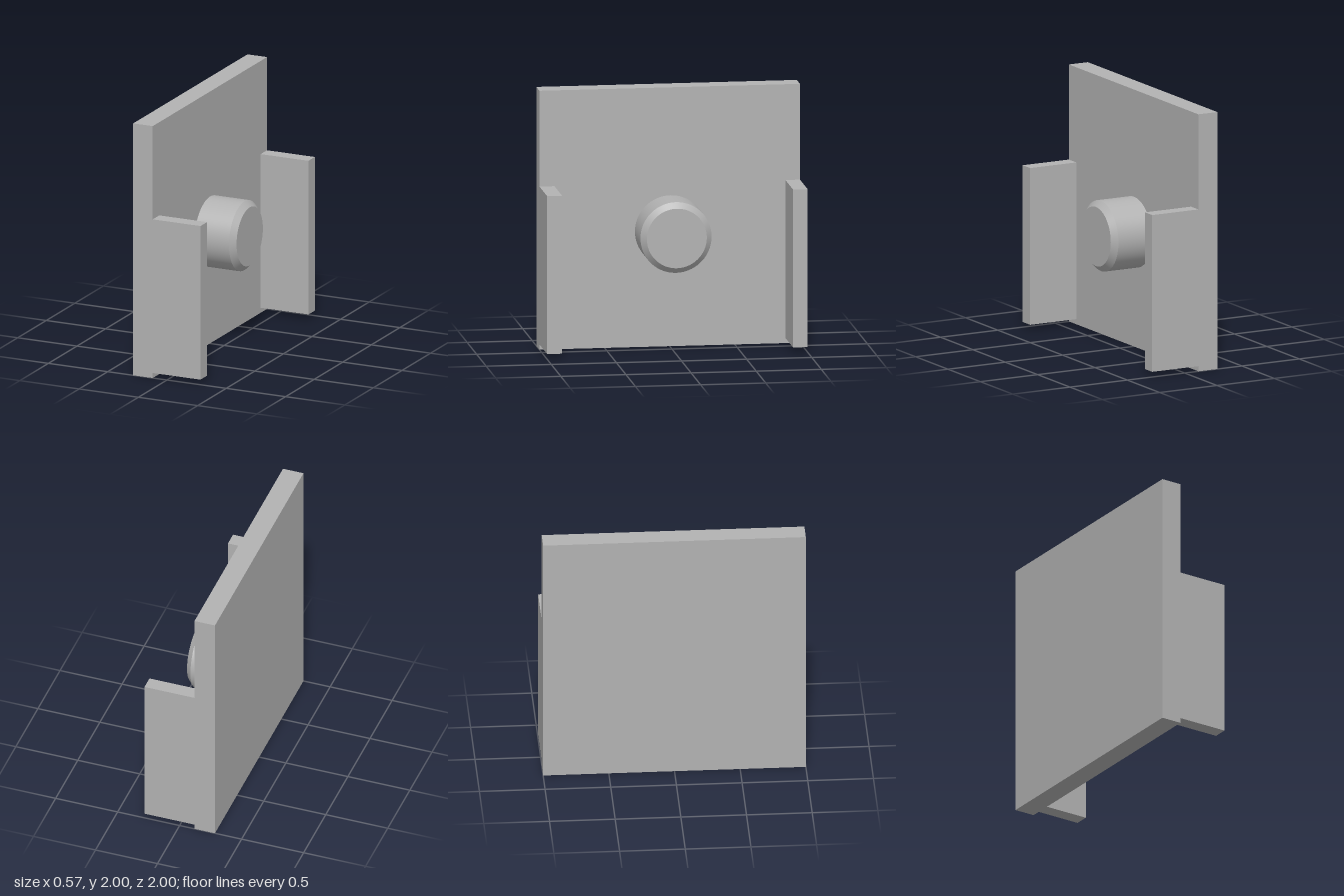
import * as THREE from 'three';

export function createModel() {
  const model = new THREE.Group();
  const grey = new THREE.MeshStandardMaterial({ color: 0xb2b2b2 });
  grey.name = 'plain grey';

  function add(name, geometry, x, y, z) {
    const mesh = new THREE.Mesh(geometry, grey);
    mesh.name = name;
    mesh.position.set(x, y, z);
    model.add(mesh);
  }

  // Box from its minimum and maximum corners
  function addBox(name, [x0, y0, z0], [x1, y1, z1]) {
    add(name, new THREE.BoxGeometry(x1 - x0, y1 - y0, z1 - z0),
      (x0 + x1) / 2, (y0 + y1) / 2, (z0 + z1) / 2);
  }

  // Upright back plate
  const plateFace = -0.12;
  addBox('backPlate', [-0.285, 0, -1], [plateFace, 2, 1]);

  // Flanges along both edges of the plate
  addBox('frontFlange', [plateFace, 0.04, 0.885], [0.283, 1.26, 1]);
  addBox('rearFlange', [plateFace, 0.04, -1], [0.283, 1.26, -0.888]);

  // Round boss pointing along +x: straight wall, chamfer and end face
  const radius = 0.273, tipRadius = 0.23, shoulder = 0.17, tip = 0.213;
  const bossY = 0.893, bossZ = -0.006, sides = 96;
  function addRing(name, rTip, rBase, x0, x1) {
    const ring = new THREE.CylinderGeometry(rTip, rBase, x1 - x0, sides, 1, true);
    ring.rotateZ(-Math.PI / 2);
    add(name, ring, (x0 + x1) / 2, bossY, bossZ);
  }
  addRing('bossWall', radius, radius, plateFace, shoulder);
  addRing('bossChamfer', tipRadius, radius, shoulder, tip);
  add('bossFace', new THREE.CircleGeometry(tipRadius, sides).rotateY(Math.PI / 2), tip, bossY, bossZ);

  return model;
}
